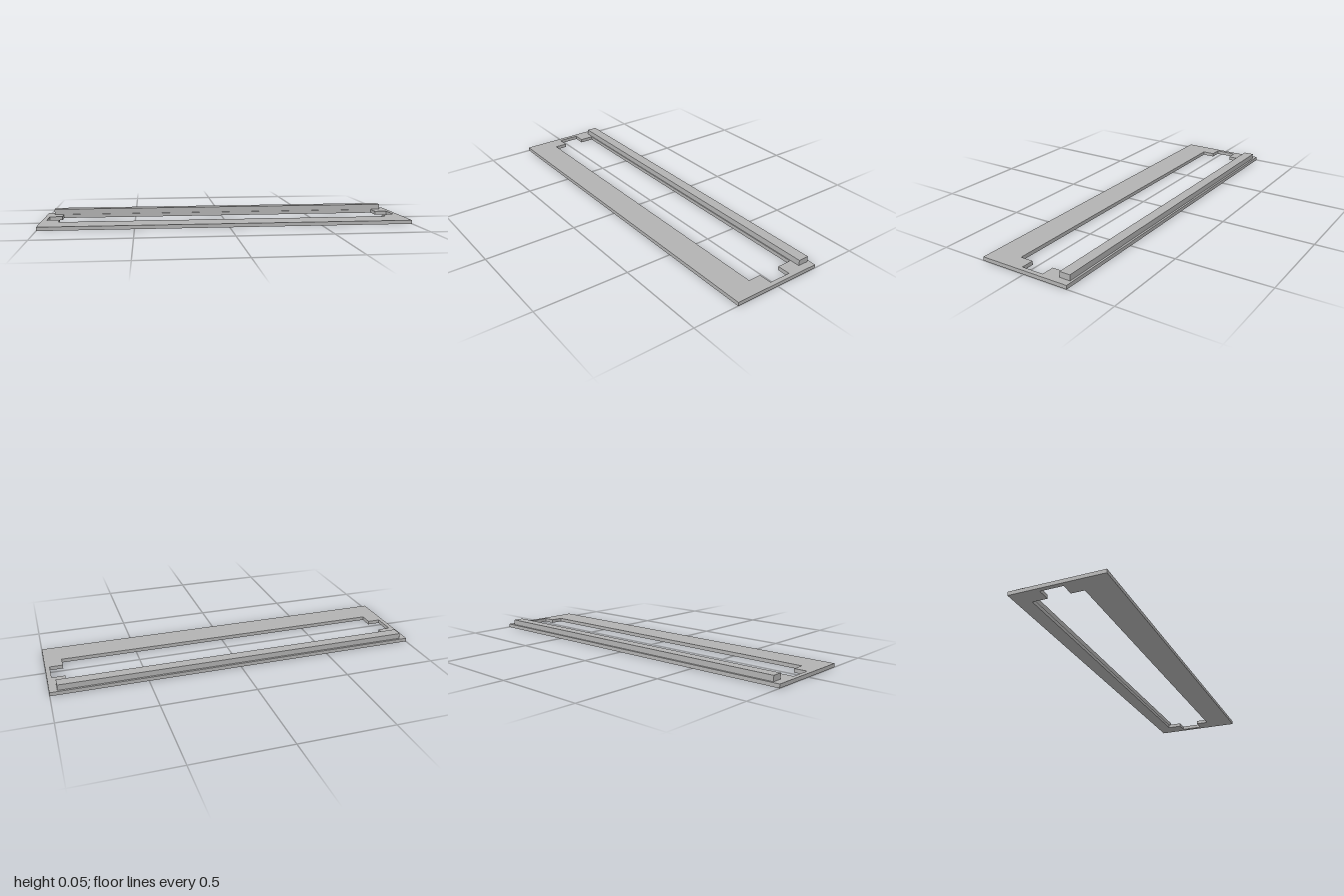
import * as THREE from 'three';

export function createModel() {
  const group = new THREE.Group();
  const grey = new THREE.MeshStandardMaterial({ color: 0xb2b2b2 });
  grey.name = 'grey';

  const plateHeight = 0.02;
  const halfDepth = 0.2475;

  // Flat plate outline; shape y points to the back (-z)
  const outline = new THREE.Shape([
    [-1, -halfDepth], [1, -halfDepth], [1, halfDepth], [-1, halfDepth],
  ].map(([x, y]) => new THREE.Vector2(x, y)));

  // Long window with a shallow notch at each end
  const rightHalf = [
    [0.907, -0.096], [0.907, -0.026], [0.976, -0.026],
    [0.976, 0.094], [0.907, 0.094], [0.907, 0.173],
  ];
  const leftHalf = rightHalf.map(([x, y]) => [-x, y]).reverse();
  outline.holes.push(new THREE.Path(
    [...rightHalf, ...leftHalf].map(([x, y]) => new THREE.Vector2(x, y))));

  const plateGeometry = new THREE.ExtrudeGeometry(outline, { depth: plateHeight, bevelEnabled: false });
  plateGeometry.rotateX(-Math.PI / 2);
  const plate = new THREE.Mesh(plateGeometry, grey);
  plate.name = 'framePlate';
  group.add(plate);

  // Raised bar along the back edge
  const rail = new THREE.Mesh(new THREE.BoxGeometry(1.92, 0.03, 0.058), grey);
  rail.name = 'backRail';
  rail.position.set(0, plateHeight + 0.015, -0.207);
  group.add(rail);

  return group;
}
